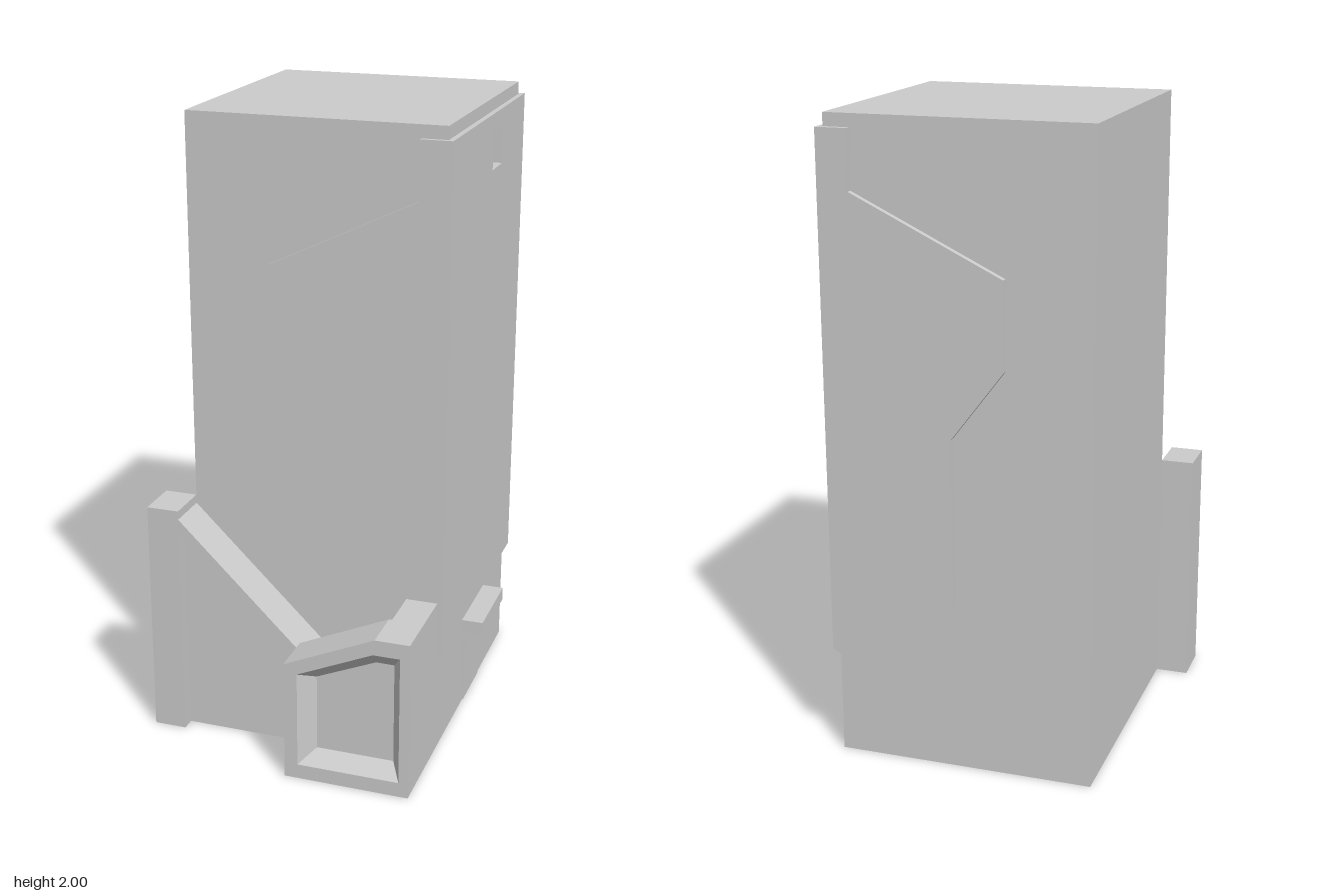
import * as THREE from 'three';

const grey = new THREE.MeshStandardMaterial({ color: 0xcccccc, flatShading: true });
const thin = new THREE.MeshStandardMaterial({ color: 0xcccccc, flatShading: true, side: THREE.DoubleSide });

export function createModel() {
  const group = new THREE.Group();
  const vec = (pts) => pts.map(([x, y]) => new THREE.Vector2(x, y));

  const add = (name, geometry, material = grey) => {
    const mesh = new THREE.Mesh(geometry, material);
    mesh.name = name;
    group.add(mesh);
    return mesh;
  };

  // Box given by its limits on each axis
  const box = (name, [x0, x1], [y0, y1], [z0, z1]) => {
    const g = new THREE.BoxGeometry(x1 - x0, y1 - y0, z1 - z0);
    g.translate((x0 + x1) / 2, (y0 + y1) / 2, (z0 + z1) / 2);
    return add(name, g);
  };

  // Outline with an optional hole, extruded by a depth
  const extrude = (pts, depth, hole) => {
    const shape = new THREE.Shape(vec(pts));
    if (hole) shape.holes.push(new THREE.Path(vec(hole)));
    return new THREE.ExtrudeGeometry(shape, { depth, bevelEnabled: false });
  };

  // Outline in x, y running from z0 to z1
  const prism = (name, pts, z0, z1, hole) =>
    add(name, extrude(pts, z1 - z0, hole).translate(0, 0, z0));

  // Rectangular wall facing +x with the small window cut through it
  const windowHole = [[0.18, 1.785], [0.18, 1.905], [0.30, 1.905], [0.30, 1.785]];
  const sideWall = (name, x0, x1, y0, y1, z0, z1) => {
    const rect = [[-z1, y0], [-z0, y0], [-z0, y1], [-z1, y1]];
    add(name, extrude(rect, x1 - x0, windowHole).rotateY(Math.PI / 2).translate(x0, 0, 0));
  };

  // Tower block
  box('towerBody', [-0.39, 0.40], [0, 2], [-0.57, 0.28]);
  sideWall('towerSideWall', 0.40, 0.42, 0, 2, -0.57, 0.28);

  // Cladding wrapped around the left side, with a stepped edge front and back
  sideWall('sideCladding', 0.42, 0.437, 0.35, 1.96, -0.57, 0.28);
  const edge = [
    [0.437, 1.96], [0.34, 1.96], [0.34, 1.78], [-0.125, 1.555], [-0.125, 1.285],
    [0.037, 1.07], [0.037, 0.545], [0.29, 0.29], [0.35, 0.29], [0.437, 0.35],
  ];
  prism('frontCladding', edge, 0.28, 0.295);
  prism('backCladding', edge, -0.59, -0.57);

  // Stair: end pillar, sloping ramp and recessed wall below it
  box('stairPillar', [-0.495, -0.39], [0, 0.77], [0.28, 0.425]);
  prism('stairRamp', [[-0.39, 0.695], [0.255, 0.066], [0.255, 0.112], [-0.39, 0.742]], 0.28, 0.425);
  prism('stairWall', [[-0.39, 0], [0.255, 0], [0.255, 0.066], [-0.39, 0.695]], 0.28, 0.38);

  // Entrance porch: side wall and framed front with a splayed recess
  const porch = [[0.02, 0], [0.42, 0], [0.42, 0.52], [0.31, 0.52], [0.02, 0.39]];
  const outer = [[0.063, 0.048], [0.39, 0.048], [0.39, 0.47], [0.305, 0.47], [0.063, 0.362]];
  const inner = [[0.11, 0.09], [0.358, 0.09], [0.358, 0.42], [0.3, 0.42], [0.11, 0.338]];
  const recessZ = 0.54, frontZ = 0.59;
  box('porchSideWall', [0.32, 0.42], [0, 0.52], [0.28, 0.445]);
  prism('porchBack', porch, 0.445, recessZ);
  prism('porchFrame', porch, recessZ, frontZ, outer);

  // Sloping sides of the recess
  const corners = [];
  outer.forEach((a, i) => {
    const j = (i + 1) % outer.length;
    const p = [...a, frontZ], q = [...outer[j], frontZ];
    const r = [...inner[j], recessZ], s = [...inner[i], recessZ];
    corners.push(...p, ...q, ...r, ...p, ...r, ...s);
  });
  const reveal = new THREE.BufferGeometry();
  reveal.setAttribute('position', new THREE.Float32BufferAttribute(corners, 3));
  reveal.computeVertexNormals();
  add('porchReveal', reveal, thin);

  // Side door under a small canopy
  box('sideDoor', [0.415, 0.423], [0, 0.265], [-0.25, -0.05]);
  box('doorCanopy', [0.42, 0.49], [0.268, 0.312], [-0.30, -0.02]);

  return group;
}
